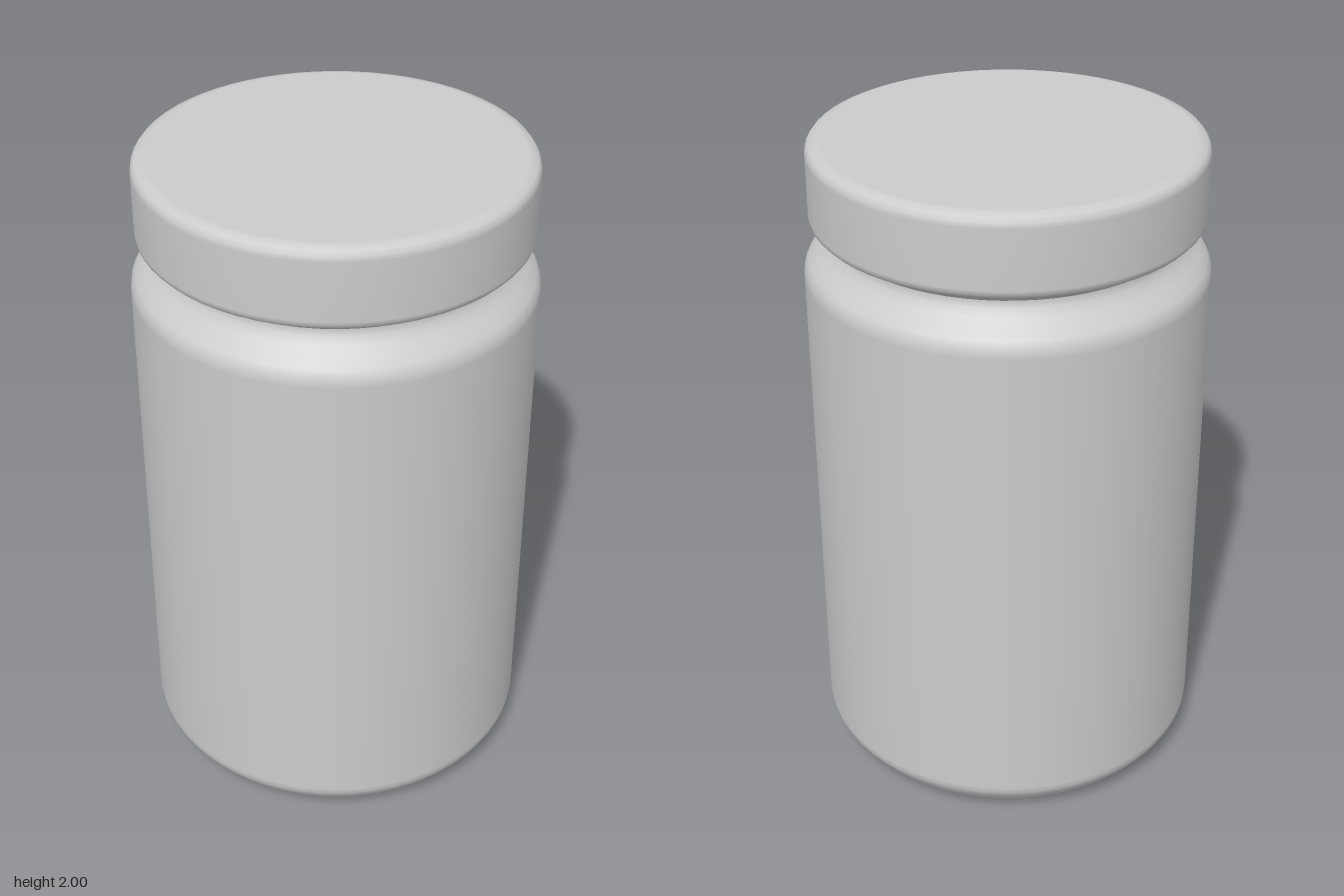
import * as THREE from 'three';

// Revolves a [radius, height] outline, listed from bottom to top
function turned(name, outline) {
  const points = outline.map(([r, y]) => new THREE.Vector2(r, y));
  const material = new THREE.MeshStandardMaterial({ color: 0xcccccc });
  const mesh = new THREE.Mesh(new THREE.LatheGeometry(points, 64), material);
  mesh.name = name;
  return mesh;
}

export function createModel() {
  const group = new THREE.Group();
  group.name = 'jar';

  // Body: flat base, rounded foot, straight wall, shoulder and neck
  group.add(turned('body', [
    [0, 0], [0.46, 0], [0.488, 0.003], [0.52, 0.018], [0.55, 0.047],
    [0.575, 0.08], [0.585, 0.1], [0.587, 0.12],
    [0.587, 1.6], [0.584, 1.625], [0.572, 1.648], [0.545, 1.672],
    [0.522, 1.692], [0.508, 1.712], [0.502, 1.73], [0.502, 1.8], [0, 1.8],
  ]));

  // Lid: tapered underside, straight rim, rounded top edge
  group.add(turned('lid', [
    [0, 1.732], [0.49, 1.732], [0.505, 1.734], [0.515, 1.745], [0.535, 1.756],
    [0.555, 1.766], [0.565, 1.777], [0.567, 1.79],
    [0.567, 1.965], [0.564, 1.98], [0.555, 1.992], [0.535, 1.999],
    [0.525, 2], [0, 2],
  ]));

  return group;
}
